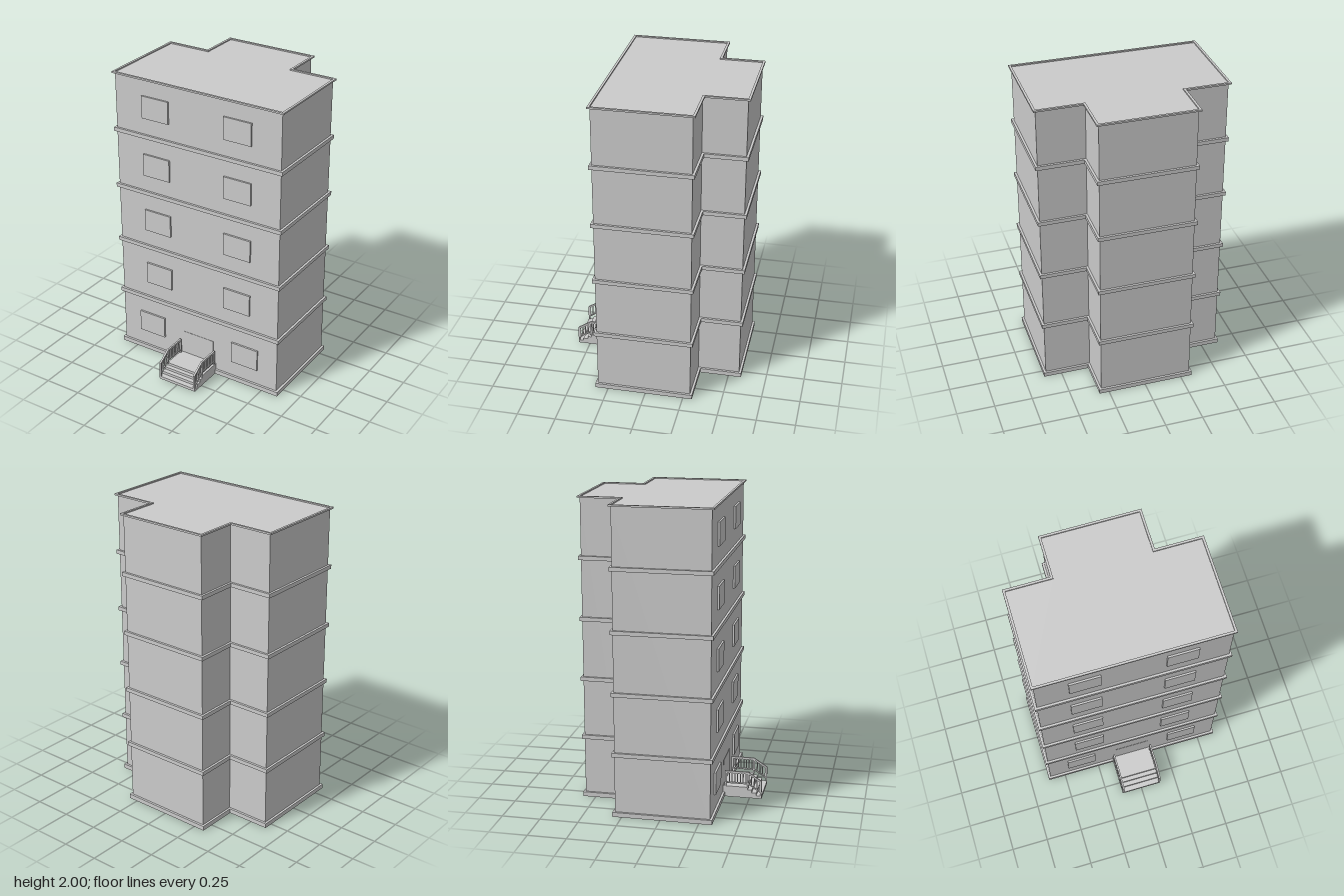
import * as THREE from 'three';

const mat = new THREE.MeshStandardMaterial({ color: 0xcccccc, side: THREE.DoubleSide, flatShading: true });

// T-shaped floor plan grown outwards by d, as [x, z] corners
function plan(d) {
  return [
    [-0.605 - d, 0.32 + d], [0.605 + d, 0.32 + d], [0.605 + d, -0.295 - d], [0.3 + d, -0.295 - d],
    [0.3 + d, -0.57 - d], [-0.312 - d, -0.57 - d], [-0.312 - d, -0.295 - d], [-0.605 - d, -0.295 - d],
  ].map(([x, z]) => new THREE.Vector2(x, -z));
}

// Extruded slab of the plan from y0 to y1, hollow when an inner offset is given
function slab(name, outer, inner, y0, y1) {
  const shape = new THREE.Shape(plan(outer));
  if (inner !== null) shape.holes.push(new THREE.Path(plan(inner)));
  const geo = new THREE.ExtrudeGeometry(shape, { depth: y1 - y0, bevelEnabled: false });
  geo.rotateX(-Math.PI / 2).translate(0, y0, 0);
  const mesh = new THREE.Mesh(geo, mat);
  mesh.name = name;
  return mesh;
}

// Box given by its extents
function box(name, x0, x1, y0, y1, z0, z1) {
  const geo = new THREE.BoxGeometry(x1 - x0, y1 - y0, z1 - z0);
  geo.translate((x0 + x1) / 2, (y0 + y1) / 2, (z0 + z1) / 2);
  const mesh = new THREE.Mesh(geo, mat);
  mesh.name = name;
  return mesh;
}

// Side profile in [z, y], extruded from x0 to x1
function sideExtrude(name, points, x0, x1) {
  const shape = new THREE.Shape(points.map(([z, y]) => new THREE.Vector2(-z, y)));
  const geo = new THREE.ExtrudeGeometry(shape, { depth: x1 - x0, bevelEnabled: false });
  geo.rotateY(Math.PI / 2).translate(x0, 0, 0);
  const mesh = new THREE.Mesh(geo, mat);
  mesh.name = name;
  return mesh;
}

// Railing on one side of the porch, level and then sloping down the steps
function railing(name, x0, x1) {
  const g = new THREE.Group();
  g.name = name;
  const drop = (z) => Math.max(0, (z - 0.49) * 0.65);
  const rail = (n, y, h) => sideExtrude(n, [
    [0.335, y], [0.49, y], [0.58, y - drop(0.58)],
    [0.58, y + h - drop(0.58)], [0.49, y + h], [0.335, y + h],
  ], x0, x1);
  g.add(rail('topRail', 0.166, 0.014), rail('bottomRail', 0.094, 0.008));
  for (let i = 0; i < 13; i++) {
    const z = 0.345 + i * 0.0185;
    g.add(box('baluster', x0 + 0.002, x1 - 0.002, 0.098 - drop(z), 0.168 - drop(z), z - 0.003, z + 0.003));
  }
  // posts at the house, at the top of the steps and at the bottom
  for (const [z, y0] of [[0.339, 0.07], [0.489, 0.07], [0.575, 0]]) {
    g.add(box('post', x0, x1, y0, 0.172 - drop(z), z - 0.005, z + 0.005));
  }
  return g;
}

export function createModel() {
  const model = new THREE.Group();

  // Hollow walls, open underneath, and a slightly sunken roof
  model.add(slab('walls', 0, -0.003, 0, 1.99));
  model.add(slab('roof', 0, null, 1.988, 1.992));

  // Ledges around every storey and the roof rim
  for (const [y0, y1] of [[0, 0.03], [0.403, 0.43], [0.8, 0.826], [1.198, 1.224], [1.595, 1.621], [1.989, 2]]) {
    model.add(slab('ledge', 0.015, 0, y0, y1));
  }

  // Window panels
  const win = (x, y) => model.add(box('window', x - 0.099, x + 0.099, y, y + 0.15, 0.318, 0.332));
  for (let i = 1; i < 5; i++) {
    const y = 0.14 + i * 0.398;
    win(-0.301, y);
    win(0.301, y);
  }
  win(-0.368, 0.14);
  win(0.363, 0.14);

  // Door, nearly flush with the wall
  model.add(box('door', -0.115, 0.118, 0.03, 0.24, 0.316, 0.322));

  // Porch with steps and railings
  const porch = new THREE.Group();
  porch.name = 'porch';
  porch.add(sideExtrude('steps', [
    [0.322, 0], [0.58, 0], [0.58, 0.02], [0.545, 0.02], [0.545, 0.038], [0.515, 0.038],
    [0.515, 0.056], [0.487, 0.056], [0.487, 0.074], [0.322, 0.074],
  ], -0.14, 0.14));
  porch.add(railing('rightRailing', -0.14, -0.128), railing('leftRailing', 0.128, 0.14));
  model.add(porch);

  return model;
}
